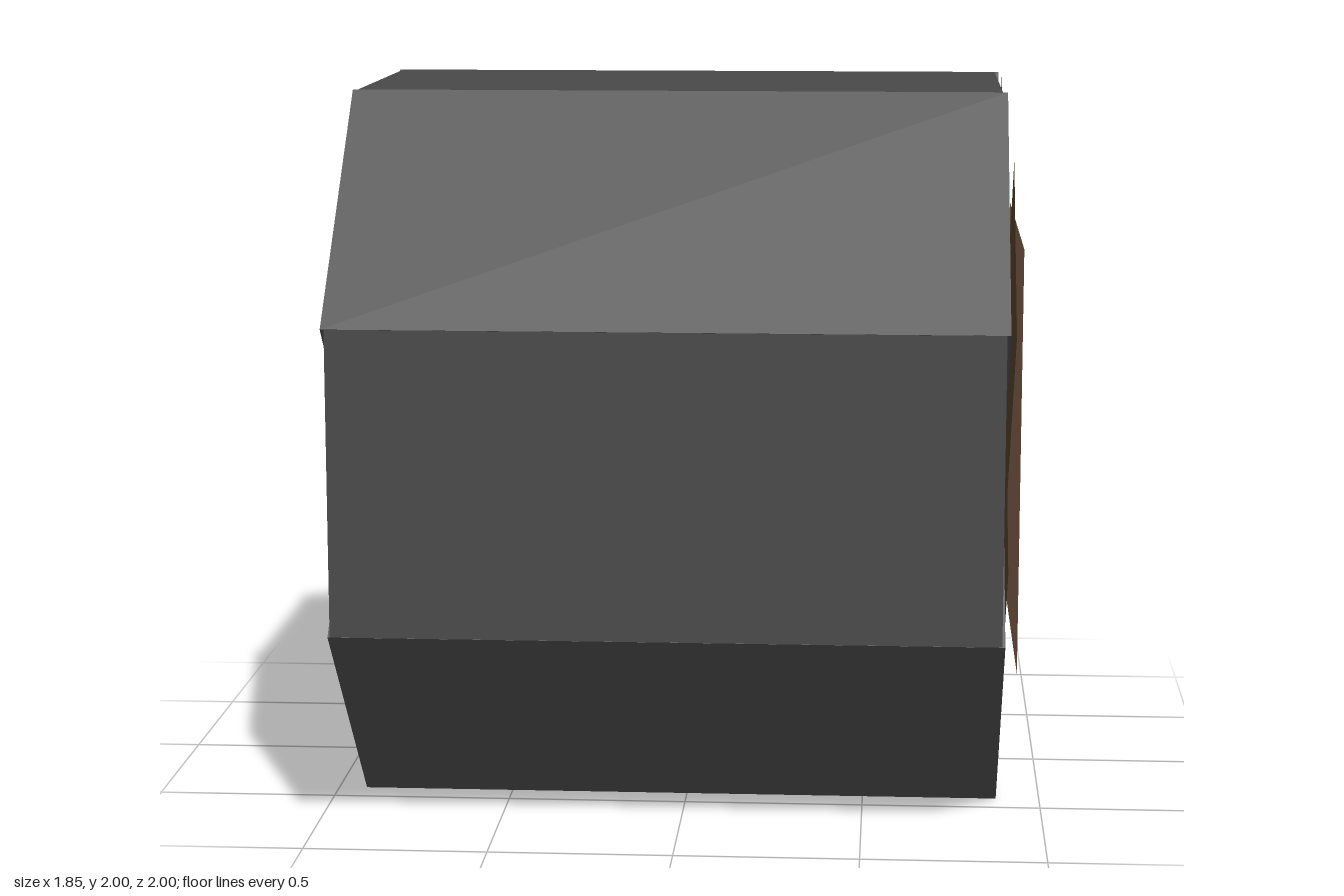
import * as THREE from 'three';

const casing = new THREE.MeshStandardMaterial({ color: 0x484848 });
casing.name = 'charcoal casing';
const panel = new THREE.MeshStandardMaterial({ color: 0x765844, side: THREE.DoubleSide });
panel.name = 'brown panel';
const strip = new THREE.MeshStandardMaterial({ color: 0x483722, side: THREE.DoubleSide });
strip.name = 'dark brown strip';

// Long slab through the centre line, turned about the x axis
function slab(name, x0, x1, angle) {
  const mesh = new THREE.Mesh(new THREE.BoxGeometry(x1 - x0, 2, 0.828), casing);
  mesh.name = name;
  mesh.position.set((x0 + x1) / 2, 1, 0);
  mesh.rotation.x = angle;
  return mesh;
}

// Flat plate facing +x; one corner may be rounded
function plate(name, material, x, y, z, length, width, angle = 0, radius = 0) {
  const a = length / 2, b = width / 2;
  const shape = new THREE.Shape();
  shape.moveTo(-a + radius, -b);
  shape.lineTo(a, -b);
  shape.lineTo(a, b);
  shape.lineTo(-a, b);
  shape.lineTo(-a, -b + radius);
  if (radius) shape.quadraticCurveTo(-a, -b, -a + radius, -b);
  const geometry = new THREE.ShapeGeometry(shape, 8);
  geometry.rotateZ(angle).rotateY(Math.PI / 2);
  const mesh = new THREE.Mesh(geometry, material);
  mesh.name = name;
  mesh.position.set(x, y, z);
  return mesh;
}

export function createModel() {
  const group = new THREE.Group();
  group.name = 'octagonalBlock';
  const q = Math.PI / 4;

  // Four crossing slabs form the octagonal body, with slightly stepped ends
  group.add(
    slab('uprightSlab', -0.91, 0.866, 0),
    slab('levelSlab', -0.915, 0.87, 2 * q),
    slab('risingSlab', -0.925, 0.88, q),
    slab('fallingSlab', -0.921, 0.878, -q),
  );

  // Panels recessed between the diagonal slabs
  group.add(
    plate('lowerInnerPanel', panel, 0.875, 0.82, 0, 1.18, 1.18),
    plate('sideInnerPanel', panel, 0.874, 1, -0.18, 1.18, 1.18),
  );

  // Crossed dark strips and the square end panel
  group.add(
    plate('crossStripA', strip, 0.888, 1.165, 0.005, 1.77, 0.59, q, 0.07),
    plate('crossStripB', strip, 0.894, 0.995, 0.17, 1.77, 0.59, 3 * q, 0.07),
    plate('endPanel', panel, 0.925, 1, 0, 1.18, 1.18),
  );
  return group;
}
